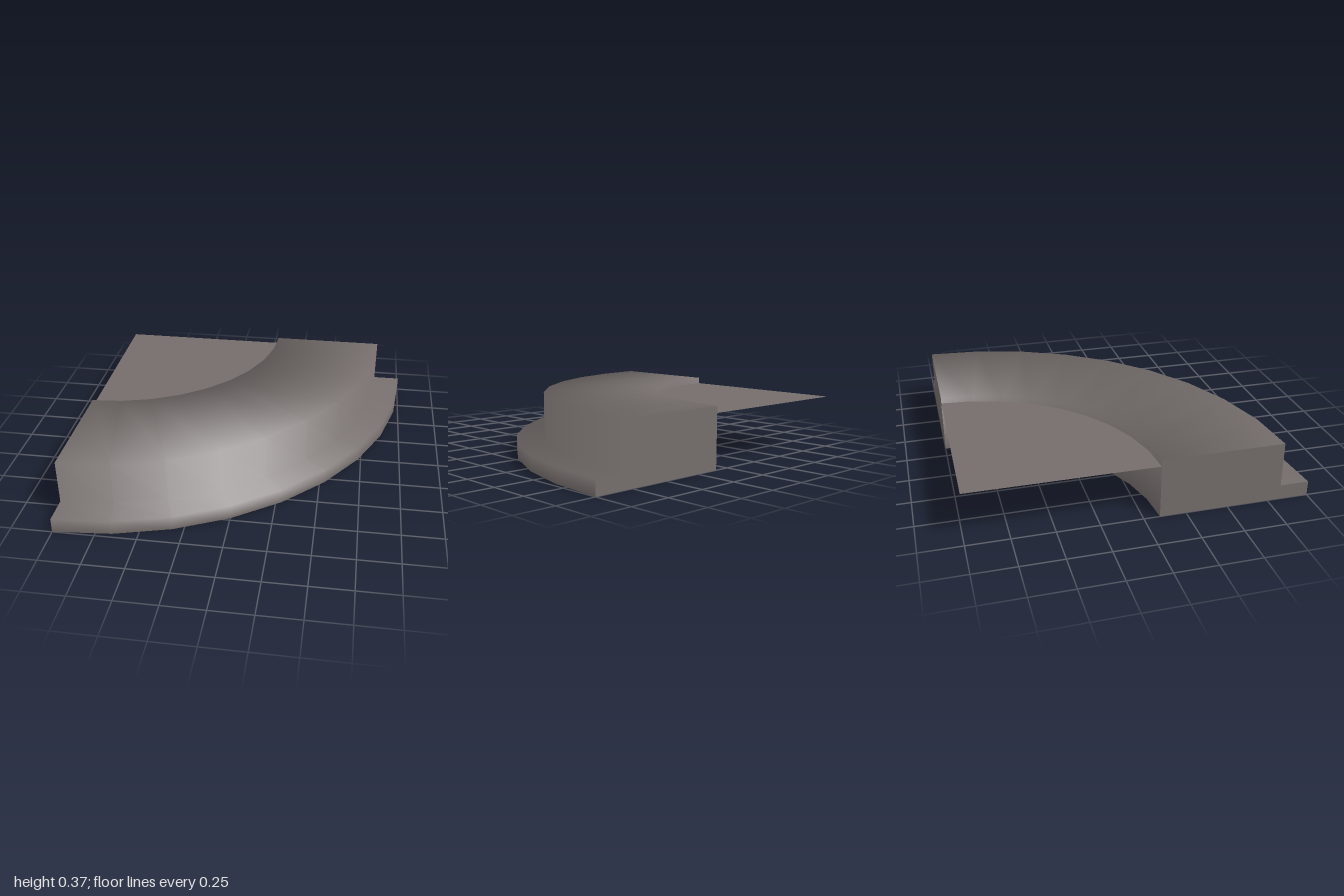
import * as THREE from 'three';

const HEIGHT = 0.365, FLANGE = 0.09, PLATE_Y = 0.325;
const INNER = 1.095, STEP = 1.825, OUTER = 2;
const PLATE = 1.635, PLATE_CUT = 0.43; // plate reach, and where its corner is cut
const SEGMENTS = 9;

export function createModel() {
  const model = new THREE.Group();
  model.name = 'quarterRoundStep';
  // open shell, so both sides are drawn
  const stone = new THREE.MeshStandardMaterial({ color: 0x746d6b, side: THREE.DoubleSide });
  stone.name = 'warm grey stone';

  function add(name, geometry) {
    const mesh = new THREE.Mesh(geometry, stone);
    mesh.name = name;
    mesh.position.set(-1, 0, -1); // centre of the curve
    model.add(mesh);
    return mesh;
  }

  // stepped cross-section, open underneath: radius, height, then smooth normal (outward, up)
  const section = [
    [OUTER, 0, 1, 0], [OUTER, FLANGE, 1, 1], [STEP, FLANGE, 1, 1],
    [STEP, HEIGHT, 1, 1], [INNER, HEIGHT, -1, 1], [INNER, 0, -1, 0],
  ];
  const profile = section.map(([r, y]) => new THREE.Vector2(r, y));

  // curved rim with flange, swept a quarter turn and smoothed evenly over its edges
  const rim = new THREE.LatheGeometry(profile, SEGMENTS, 0, Math.PI / 2);
  for (let i = 0; i <= SEGMENTS; i++) {
    const a = (i / SEGMENTS) * Math.PI / 2;
    section.forEach(([, , out, up], j) => {
      const n = new THREE.Vector3(out * Math.sin(a), up, out * Math.cos(a)).normalize();
      rim.attributes.normal.setXYZ(i * section.length + j, n.x, n.y, n.z);
    });
  }
  add('curvedRim', rim);

  // flat plate just below the rim top, running on underneath it with a cut corner
  const outline = [[0, 0], [PLATE, 0], [PLATE, PLATE_CUT], [PLATE_CUT, PLATE], [0, PLATE]]
    .map(([x, z]) => new THREE.Vector2(x, -z));
  const plate = new THREE.ShapeGeometry(new THREE.Shape(outline));
  plate.rotateX(-Math.PI / 2);
  plate.translate(0, PLATE_Y, 0);
  add('innerPlate', plate);

  // flat end walls closing the sweep
  const end = new THREE.ShapeGeometry(new THREE.Shape(profile));
  add('backEndWall', end);
  add('sideEndWall', end).rotation.y = -Math.PI / 2;

  return model;
}
